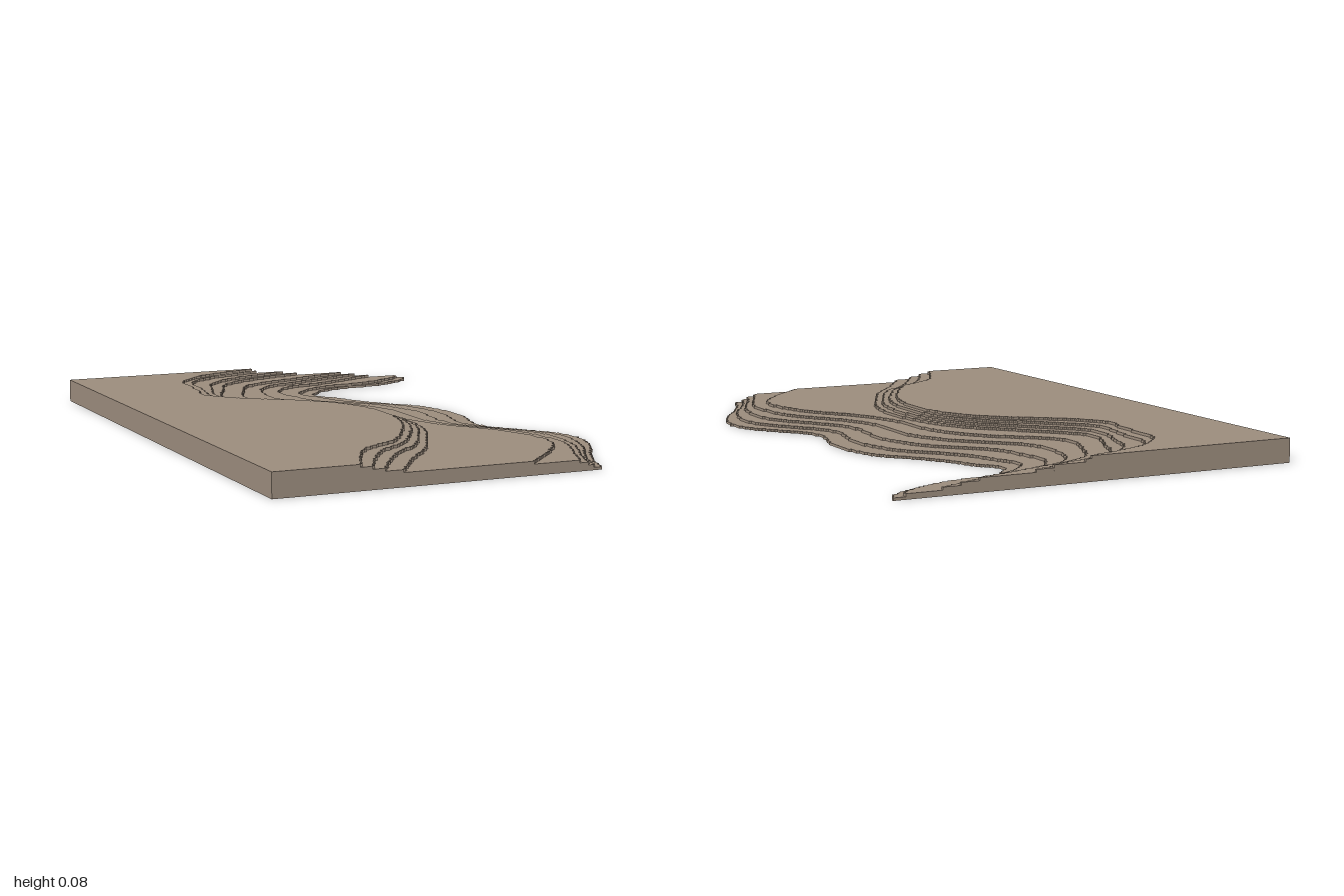
import * as THREE from 'three';

const LAYERS = 9, HEIGHT = 0.08, LEFT = -0.7, CELL = 0.01;

// Contour through [z, x] points, as a smooth function x(z)
function contour(points) {
  const spline = new THREE.CubicInterpolant(points.map(p => p[0]), points.map(p => p[1]), 1);
  return z => spline.evaluate(z)[0];
}

// Outer shoreline of the lowest layer
const shore = contour([[-1, 0.69], [-0.95, 0.66], [-0.9, 0.58], [-0.87, 0.5], [-0.855, 0.38], [-0.82, 0.27],
  [-0.78, 0.22], [-0.7, 0.165], [-0.6, 0.225], [-0.5, 0.27], [-0.4, 0.34], [-0.3, 0.42], [-0.2, 0.45],
  [-0.1, 0.465], [0, 0.45], [0.1, 0.425], [0.2, 0.435], [0.3, 0.51], [0.4, 0.58], [0.5, 0.605],
  [0.6, 0.585], [0.7, 0.54], [0.8, 0.48], [0.9, 0.43], [1, 0.4]]);
// Outer and inner edge of the broad middle shelf
const shelfOuter = contour([[-1, 0.43], [-0.93, 0.2], [-0.85, -0.01], [-0.7, -0.12], [-0.49, -0.16], [-0.3, 0.03],
  [-0.14, 0.12], [0.12, 0.15], [0.28, 0.21], [0.48, 0.34], [0.72, 0.38], [0.85, 0.3], [1, 0.15]]);
const shelfInner = contour([[-1, 0.24], [-0.93, 0.02], [-0.85, -0.12], [-0.7, -0.2], [-0.5, -0.26], [-0.3, -0.1],
  [-0.15, 0.03], [0, 0.09], [0.2, 0.12], [0.4, 0.09], [0.55, 0.02], [0.7, -0.06], [0.85, -0.18], [1, -0.28]]);
// Rim of the plateau
const rim = contour([[-1, 0.04], [-0.92, -0.18], [-0.8, -0.32], [-0.69, -0.34], [-0.56, -0.35], [-0.44, -0.365],
  [-0.31, -0.26], [-0.17, -0.08], [-0.02, 0.02], [0.21, 0.05], [0.39, 0.01], [0.53, -0.06],
  [0.68, -0.17], [0.75, -0.28], [0.87, -0.36], [1, -0.42]]);

// Spacing of the steps between key contours at the back, middle and front
const lowerSteps = [[0, 0, 0], [0.12, 0.22, 0.12], [0.58, 0.47, 0.2], [0.8, 0.73, 0.32], [1, 1, 1]];
const upperSteps = [[0, 0, 0], [0.3, 0.33, 0.43], [0.9, 0.67, 0.71], [1, 1, 1]];

function edgeX(layer, z) {
  const lower = layer < 5;
  const [back, mid, front] = lower ? lowerSteps[layer] : upperSteps[layer - 5];
  const t = THREE.MathUtils.smoothstep(Math.abs(z), 0.6, 1);
  const f = THREE.MathUtils.lerp(mid, z < 0 ? back : front, t);
  return lower
    ? THREE.MathUtils.lerp(shore(z), shelfOuter(z), f)
    : THREE.MathUtils.lerp(shelfInner(z), rim(z), f);
}

export function createModel() {
  const model = new THREE.Group();
  model.name = 'terracedTerrain';
  const earth = new THREE.MeshStandardMaterial({ color: 0x9a8b7c });
  earth.name = 'earth';

  const rows = Math.round(2 / CELL), step = HEIGHT / LAYERS;
  const limit = new Array(rows).fill(Infinity);

  for (let layer = 0; layer < LAYERS; layer++) {
    // Stair-stepped outline on a fine grid, kept within the layer below
    const shape = new THREE.Shape();
    shape.moveTo(LEFT, 1);
    let previous = null;
    for (let r = 0; r < rows; r++) {
      const z = -1 + r * CELL;
      const x = Math.min(limit[r], Math.round(edgeX(layer, z + CELL / 2) / CELL) * CELL);
      limit[r] = x;
      if (x === previous) continue;
      if (previous !== null) shape.lineTo(previous, -z);
      shape.lineTo(x, -z);
      previous = x;
    }
    shape.lineTo(previous, -1);
    shape.lineTo(LEFT, -1);
    shape.closePath();

    const geometry = new THREE.ExtrudeGeometry(shape, { depth: step, bevelEnabled: false });
    geometry.rotateX(-Math.PI / 2);
    const mesh = new THREE.Mesh(geometry, earth);
    mesh.name = `terrainLayer${layer + 1}`;
    mesh.position.y = layer * step;
    model.add(mesh);
  }
  return model;
}
